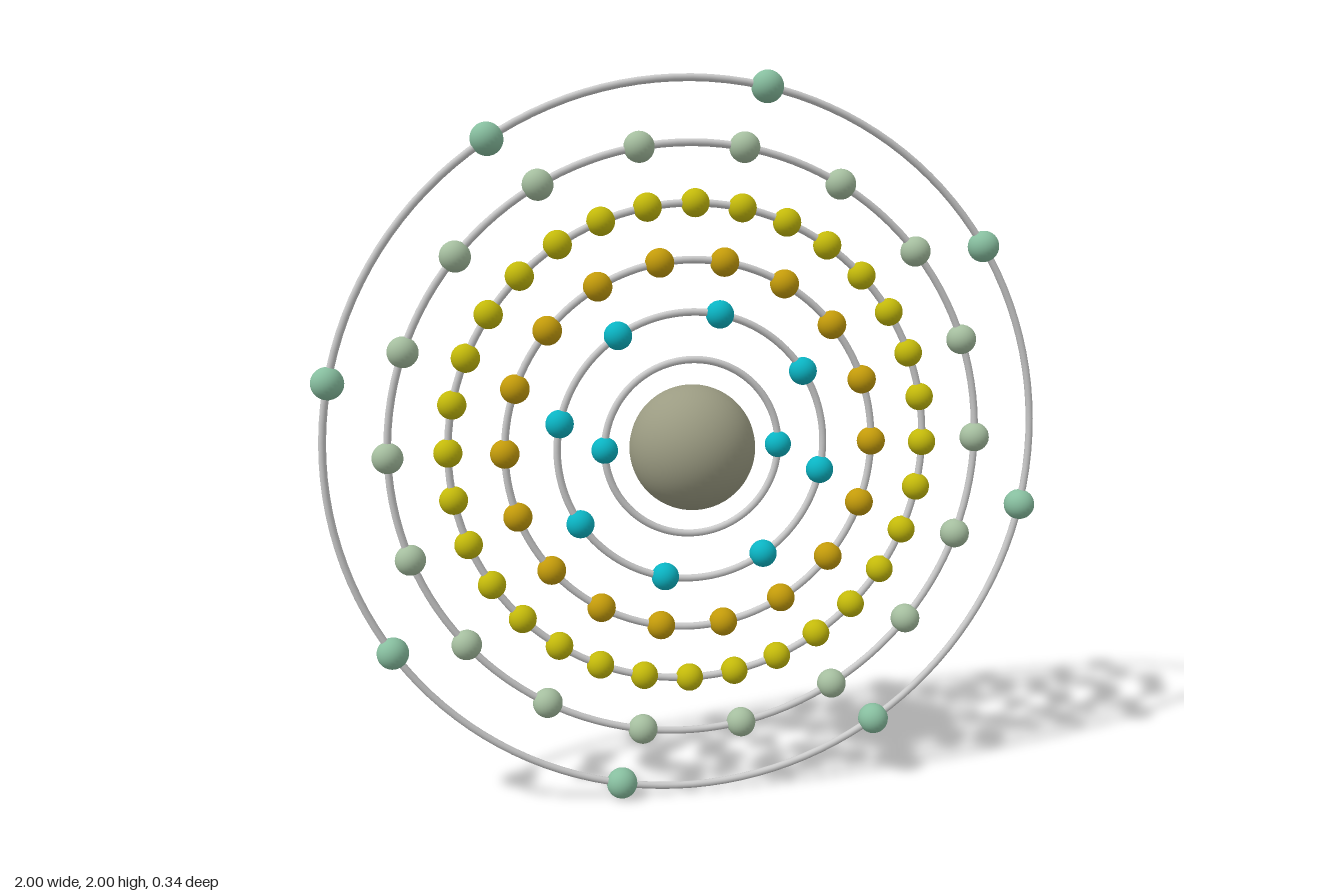
import * as THREE from 'three';

// Shells from the inside out: ring radius, bead count, phase in degrees, bead radius, bead colour
const SHELLS = [
  { radius: 0.24, count: 2, phase: 0, bead: 0.036, color: 0x0ab4c3 },
  { radius: 0.368, count: 8, phase: -11.9, bead: 0.038, color: 0x0ab4c3 },
  { radius: 0.507, count: 18, phase: 0, bead: 0.039, color: 0xc39b0a },
  { radius: 0.656, count: 32, phase: -0.7, bead: 0.038, color: 0xc3b90a },
  { radius: 0.812, count: 18, phase: 0, bead: 0.041, color: 0xa5be9f },
  { radius: 0.977, count: 8, phase: -11.9, bead: 0.043, color: 0x87be9f },
];
const TUBE = 0.01;

function addMesh(parent, name, geometry, material) {
  const mesh = new THREE.Mesh(geometry, material);
  mesh.name = name;
  parent.add(mesh);
  return mesh;
}

export function createModel() {
  const model = new THREE.Group();
  model.name = 'atomModel';
  const ringMaterial = new THREE.MeshStandardMaterial({ color: 0xcccccc });

  // Everything is arranged around the centre, one unit above the ground
  const atom = new THREE.Group();
  atom.name = 'atom';
  atom.position.y = 1;
  model.add(atom);

  // Nucleus
  addMesh(atom, 'nucleus', new THREE.SphereGeometry(0.171, 48, 32),
    new THREE.MeshStandardMaterial({ color: 0x9b9b82 }));

  // Electron shells: a thin ring with evenly spaced beads
  SHELLS.forEach(({ radius, count, phase, bead, color }, i) => {
    const shell = new THREE.Group();
    shell.name = `shell${i + 1}`;
    atom.add(shell);
    addMesh(shell, 'orbitRing', new THREE.TorusGeometry(radius, TUBE, 12, 128), ringMaterial);

    const beadGeometry = new THREE.SphereGeometry(bead, 24, 16);
    const beadMaterial = new THREE.MeshStandardMaterial({ color });
    for (let k = 0; k < count; k++) {
      const angle = THREE.MathUtils.degToRad(phase) + (k / count) * Math.PI * 2;
      addMesh(shell, 'electron', beadGeometry, beadMaterial)
        .position.set(radius * Math.cos(angle), radius * Math.sin(angle), 0);
    }
  });

  return model;
}
